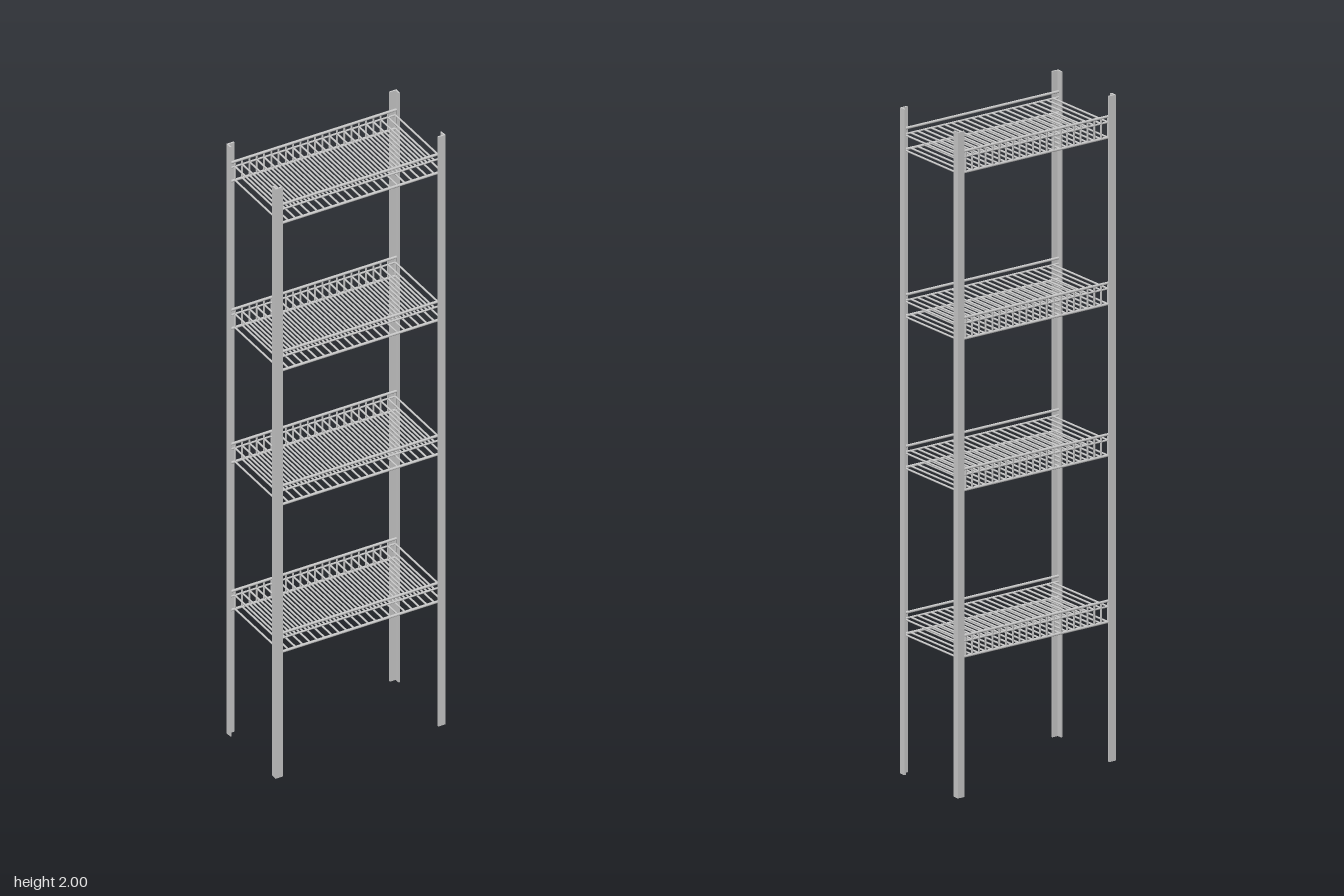
import * as THREE from 'three';

export function createModel() {
  const model = new THREE.Group();
  const steel = new THREE.MeshStandardMaterial({ color: 0xcccccc });
  steel.name = 'light grey steel';

  // Corner posts: L-shaped angle profile, mirrored into each corner
  const W = 0.28, D = 0.138, T = 0.005, armX = 0.024, armZ = 0.021;
  for (const sx of [-1, 1]) {
    for (const sz of [-1, 1]) {
      const outline = [
        [W, D], [W - armX, D], [W - armX, D - T],
        [W - T, D - T], [W - T, D - armZ], [W, D - armZ],
      ].map(([x, z]) => new THREE.Vector2(sx * x, -sz * z));
      const geometry = new THREE.ExtrudeGeometry(new THREE.Shape(outline), { depth: 2, bevelEnabled: false });
      geometry.rotateX(-Math.PI / 2);
      const post = new THREE.Mesh(geometry, steel);
      post.name = (sz > 0 ? 'front' : 'back') + (sx > 0 ? 'Left' : 'Right') + 'Post';
      model.add(post);
    }
  }

  // Straight round wire between two points
  const up = new THREE.Vector3(0, 1, 0);
  function rod(parent, name, a, b, radius) {
    const start = new THREE.Vector3(...a), end = new THREE.Vector3(...b);
    const axis = end.clone().sub(start);
    const mesh = new THREE.Mesh(new THREE.CylinderGeometry(radius, radius, axis.length(), 8), steel);
    mesh.position.copy(start).add(end).multiplyScalar(0.5);
    mesh.quaternion.setFromUnitVectors(up, axis.normalize());
    mesh.name = name;
    parent.add(mesh);
  }

  // Wire shelves
  const railZ = 0.13, railR = 0.0042, wireR = 0.003;
  const wires = 23, firstX = -0.257, lastX = 0.272;
  const midY = 0.046, topY = 0.063;

  [0.419, 0.919, 1.374, 1.874].forEach((y, i) => {
    const shelf = new THREE.Group();
    shelf.name = 'shelf' + (i + 1);
    shelf.position.y = y;

    // Long rails on front and back
    for (const z of [-railZ, railZ]) {
      for (const h of [0, midY, topY]) {
        rod(shelf, 'longRail', [-0.277, h, z], [0.277, h, z], h === midY ? wireR : railR);
      }
    }

    // Lower and upper cross wires, joined by the back guard
    for (let k = 0; k < wires; k++) {
      const x = firstX + ((lastX - firstX) * k) / (wires - 1);
      rod(shelf, 'lowerWire', [x, 0, -railZ], [x, 0, railZ], wireR);
      rod(shelf, 'upperWire', [x, midY, -railZ], [x, midY, railZ], wireR);
      rod(shelf, 'backGuardWire', [x, 0, -railZ], [x, topY, -railZ], wireR);
    }
    model.add(shelf);
  });

  return model;
}
